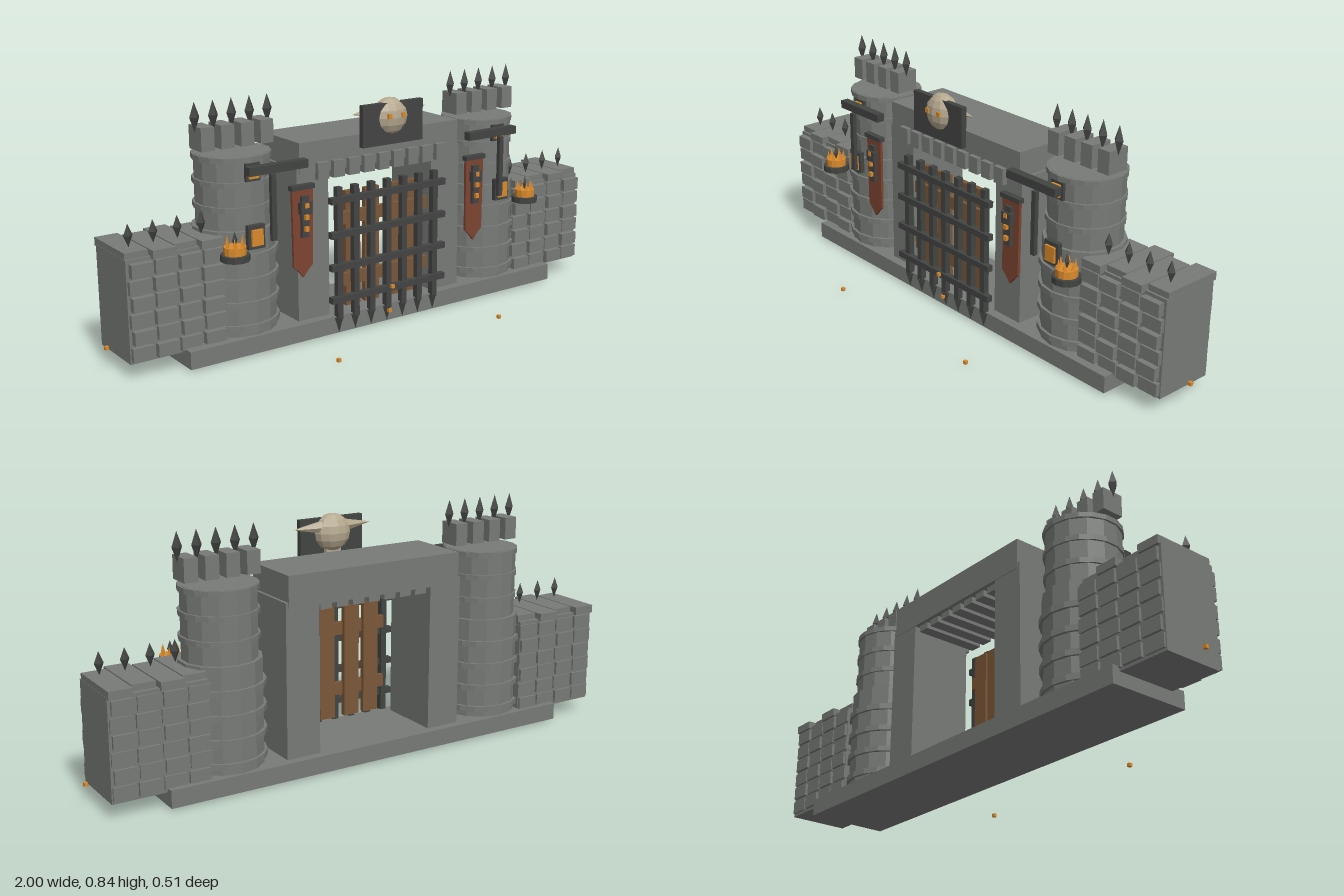
import * as THREE from 'three';

const mat = (color) => new THREE.MeshStandardMaterial({ color, flatShading: true });
const stone = mat(0x777a77), iron = mat(0x424442), wood = mat(0x7a5738);
const glow = mat(0xd98a2b), cloth = mat(0x7d4431), bone = mat(0xb5a88f);

export function createModel() {
  const root = new THREE.Group();

  const add = (parent, name, geometry, material, x = 0, y = 0, z = 0) => {
    const mesh = new THREE.Mesh(geometry, material);
    mesh.name = name;
    mesh.position.set(x, y, z);
    parent.add(mesh);
    return mesh;
  };
  // Box given by its limits on each axis
  const box = (parent, name, material, x0, x1, y0, y1, z0, z1) =>
    add(parent, name, new THREE.BoxGeometry(x1 - x0, y1 - y0, z1 - z0), material,
      (x0 + x1) / 2, (y0 + y1) / 2, (z0 + z1) / 2);
  const drum = (parent, name, material, r, y0, y1, x, z, sides = 14) =>
    add(parent, name, new THREE.CylinderGeometry(r, r, y1 - y0, sides), material, x, (y0 + y1) / 2, z);
  // Elongated diamond finial
  const spike = (parent, x, y0, y1, z, r) =>
    add(parent, 'spike', new THREE.OctahedronGeometry(1), iron, x, (y0 + y1) / 2, z)
      .scale.set(r, (y1 - y0) / 2, r);
  const group = (name, parent = root) => {
    const g = new THREE.Group();
    g.name = name;
    parent.add(g);
    return g;
  };

  box(root, 'base', stone, -0.775, 0.775, 0.01, 0.07, -0.253, 0.045);

  // Gatehouse: lintel, jambs and hanging corbels
  const gatehouse = group('gatehouse');
  box(gatehouse, 'lintel', stone, -0.335, 0.335, 0.58, 0.688, -0.224, 0.013);
  for (const s of [-1, 1]) {
    const a = s * 0.22, b = s * 0.345;
    box(gatehouse, 'jamb', stone, Math.min(a, b), Math.max(a, b), 0.07, 0.6, -0.222, 0.01);
  }
  for (let i = -4; i <= 4; i++) {
    const x = i * 0.0625;
    box(gatehouse, 'corbel', stone, x - 0.022, x + 0.022, 0.557, 0.615, -0.21, 0.03);
  }

  // Wooden door behind the bars
  const door = group('door');
  for (const x of [-0.125, -0.045, 0.055, 0.125])
    box(door, 'plank', wood, x - 0.03, x + 0.03, 0.09, 0.5, 0.0, 0.018);
  for (const y of [0.19, 0.41])
    box(door, 'crossPlank', wood, -0.188, 0.188, y - 0.022, y + 0.022, 0.012, 0.03);

  // Portcullis with pointed feet
  const portcullis = group('portcullis');
  for (let i = -3; i <= 3; i++) {
    const x = i * 0.068;
    box(portcullis, 'upright', iron, x - 0.011, x + 0.011, 0.06, 0.528, 0.034, 0.056);
    const tip = add(portcullis, 'foot', new THREE.ConeGeometry(0.018, 0.055, 4), iron, x, 0.038, 0.045);
    tip.rotation.x = Math.PI;
  }
  for (const y of [0.135, 0.25, 0.365, 0.485])
    box(portcullis, 'crossbar', iron, -0.243, 0.243, y - 0.011, y + 0.011, 0.043, 0.065);

  // Skull emblem over the gate
  const emblem = group('skullEmblem');
  box(emblem, 'plate', iron, -0.125, 0.125, 0.655, 0.798, 0.06, 0.08);
  add(emblem, 'skull', new THREE.SphereGeometry(1, 12, 8), bone, 0, 0.747, 0.057).scale.set(0.068, 0.066, 0.047);
  box(emblem, 'jaw', bone, -0.03, 0.03, 0.665, 0.7, 0.045, 0.06);
  for (const s of [-1, 1]) {
    const horn = add(emblem, 'horn', new THREE.ConeGeometry(0.024, 0.11, 6), bone, s * 0.1, 0.768, 0.055);
    horn.rotation.z = -s * Math.PI / 2;
    box(emblem, 'eye', glow, s * 0.028 - 0.008, s * 0.028 + 0.008, 0.747, 0.763, 0.088, 0.103);
  }

  const bannerShape = new THREE.Shape([[-0.04, 0.56], [-0.037, 0.29], [-0.02, 0.275], [0, 0.25],
    [0.02, 0.275], [0.037, 0.29], [0.04, 0.56]].map(([x, y]) => new THREE.Vector2(x, y)));
  const bannerGeometry = new THREE.ExtrudeGeometry(bannerShape, { depth: 0.01, bevelEnabled: false });

  for (const s of [-1, 1]) {
    const side = s > 0 ? 'left' : 'right';
    // Box centred at a mirrored x
    const mbox = (parent, name, material, x, w, y0, y1, z0, z1) =>
      box(parent, name, material, s * x - w / 2, s * x + w / 2, y0, y1, z0, z1);

    // Round tower with bands, merlons and spikes
    const tower = group(side + 'Tower');
    const tx = s * 0.523, tz = -0.105;
    drum(tower, 'lowerDrum', stone, 0.139, 0.07, 0.428, tx, tz);
    drum(tower, 'upperDrum', stone, 0.126, 0.42, 0.67, tx, tz);
    for (const y of [0.1, 0.18, 0.26, 0.342])
      drum(tower, 'lowerBand', stone, 0.148, y - 0.01, y + 0.01, tx, tz, 18);
    for (const y of [0.498, 0.58, 0.66])
      drum(tower, 'upperBand', stone, 0.132, y - 0.009, y + 0.009, tx, tz, 18);
    for (let i = 0; i < 4; i++)
      mbox(tower, 'merlon', stone, 0.412 + i * 0.073, 0.048, 0.687, 0.765, -0.14, -0.058);
    for (let i = 0; i < 5; i++)
      spike(tower, s * (0.388 + i * 0.067), 0.745, 0.845, -0.096, 0.018);

    // Side wall of staggered columns with raised bricks
    const wall = group(side + 'Wall');
    mbox(wall, 'wallCore', stone, 0.79, 0.336, 0.055, 0.397, -0.224, -0.007);
    for (let i = 0; i < 4; i++) {
      const x = 0.917 - i * 0.085, shift = i % 2 ? 0.018 : -0.008;
      mbox(wall, 'coping', stone, x, 0.08, 0.39, 0.418, -0.228 + shift, -0.007 + shift);
      spike(wall, s * x, 0.418, 0.495, -0.068, 0.016);
    }
    for (let row = 0; row < 6; row++) {
      const y = 0.065 + row * 0.055;
      for (let i = 0; i < 4; i++) {
        const x = 0.917 - i * 0.085 - (row % 2 ? 0.006 : 0), out = (i + row) % 2 ? 0.016 : 0.009;
        mbox(wall, 'frontBrick', stone, x, 0.074, y, y + 0.045, -0.02, out);
        mbox(wall, 'backBrick', stone, x, 0.074, y, y + 0.045, -0.226 - out / 2, -0.2);
      }
    }

    // Lantern bracket, lantern and tower window
    const bracket = group(side + 'Bracket');
    mbox(bracket, 'arm', iron, 0.45, 0.22, 0.62, 0.648, 0.047, 0.077);
    mbox(bracket, 'post', iron, 0.48, 0.018, 0.4, 0.62, 0.075, 0.09);
    mbox(bracket, 'lanternFrame', iron, 0.523, 0.062, 0.37, 0.45, 0.03, 0.048);
    mbox(bracket, 'lantern', glow, 0.523, 0.042, 0.382, 0.436, 0.04, 0.056);
    mbox(bracket, 'windowFrame', iron, 0.518, 0.054, 0.59, 0.65, 0.01, 0.026);
    mbox(bracket, 'window', glow, 0.518, 0.036, 0.6, 0.642, 0.015, 0.035);

    // Hanging banner with studded plate
    const banner = group(side + 'Banner');
    add(banner, 'cloth', bannerGeometry, cloth, s * 0.365, 0, 0.067);
    mbox(banner, 'rod', iron, 0.365, 0.09, 0.55, 0.566, 0.062, 0.084);
    mbox(banner, 'badge', iron, 0.362, 0.028, 0.39, 0.53, 0.078, 0.09);
    mbox(banner, 'badgeBar', iron, 0.362, 0.042, 0.47, 0.51, 0.078, 0.098);
    for (const y of [0.42, 0.46, 0.5])
      mbox(banner, 'stud', glow, 0.362, 0.014, y - 0.008, y + 0.008, 0.088, 0.101);

    // Fire bowl with flames
    const brazier = group(side + 'Brazier');
    const bx = s * 0.617, bz = 0.07;
    drum(brazier, 'bowl', iron, 0.048, 0.355, 0.376, bx, bz, 12);
    drum(brazier, 'embers', glow, 0.037, 0.376, 0.402, bx, bz, 12);
    for (let i = 0; i < 6; i++) {
      const a = i * Math.PI / 3;
      add(brazier, 'flame', new THREE.ConeGeometry(0.008, 0.035, 4), glow,
        bx + 0.028 * Math.cos(a), 0.418, bz + 0.028 * Math.sin(a));
    }
    spike(brazier, bx, 0.395, 0.45, bz, 0.01);

    // Loose sparks beside and before the gate
    mbox(root, 'spark', glow, 0.994, 0.012, 0.083, 0.095, -0.111, -0.099);
    mbox(root, 'spark', glow, 0.345, 0.012, 0.003, 0.015, 0.244, 0.256);
  }
  box(root, 'spark', glow, -0.006, 0.006, 0.139, 0.151, 0.072, 0.084);
  box(root, 'spark', glow, -0.006, 0.006, 0.045, 0.057, 0.054, 0.066);

  return root;
}
